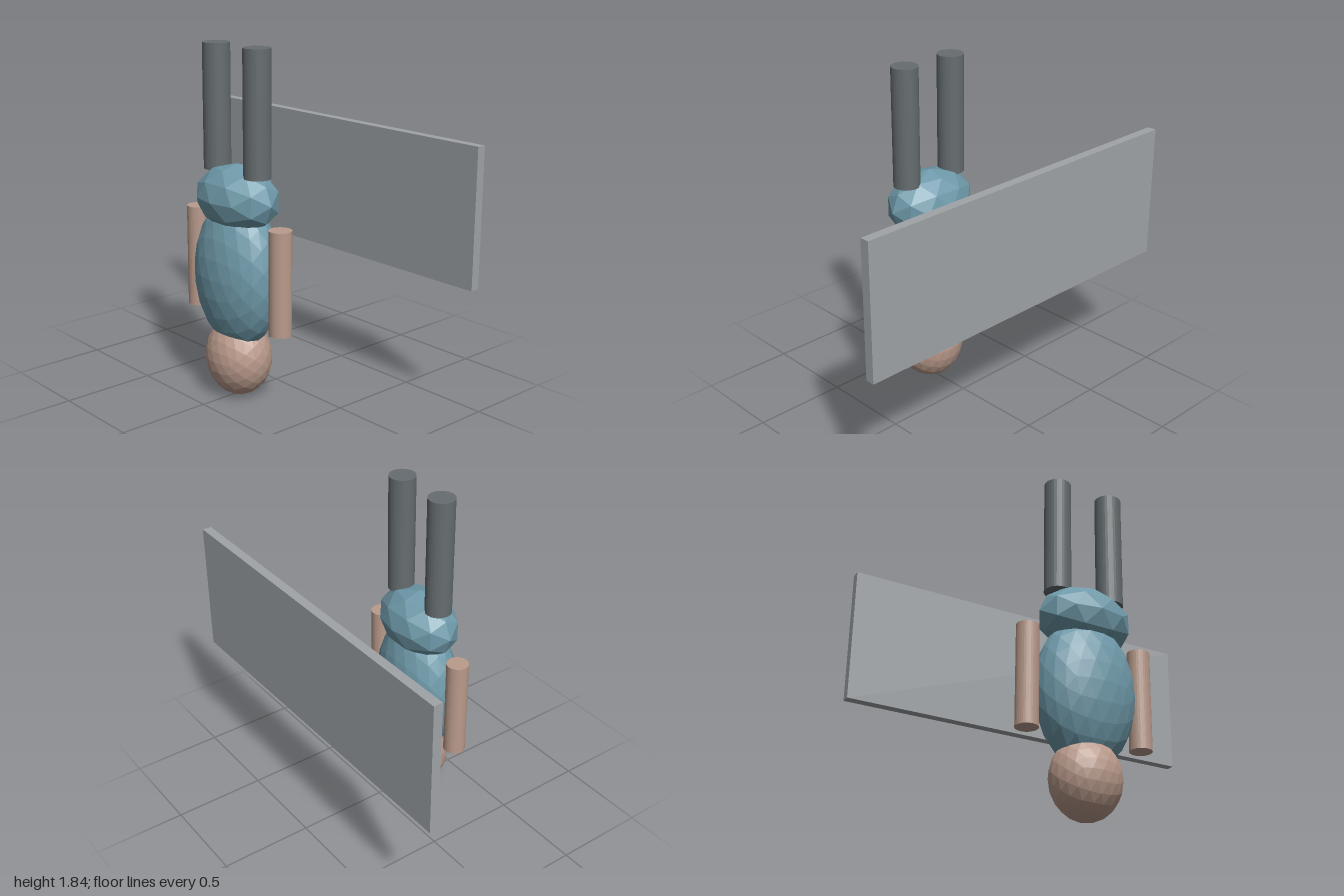
import * as THREE from 'three';

const material = (name, color, flatShading = false) => {
  const m = new THREE.MeshStandardMaterial({ color, flatShading });
  m.name = name;
  return m;
};

export function createModel() {
  const group = new THREE.Group();
  const skin = material('skin', 0xba9b8c, true);
  const cloth = material('blue cloth', 0x6f9aaa, true);
  const trousers = material('dark grey', 0x666d70, true);
  const board = material('light grey', 0x9fa4a7, true);
  const BODY_Z = 0.26;

  const add = (name, geometry, mat, x, y, z) => {
    const mesh = new THREE.Mesh(geometry, mat);
    mesh.name = name;
    mesh.position.set(x, y, z);
    group.add(mesh);
  };

  // Faceted ellipsoid, turned so that an edge of its net runs across the top
  const ellipsoid = (rx, ry, rz, detail) =>
    new THREE.IcosahedronGeometry(1, detail).rotateX(Math.PI / 2).scale(rx, ry, rz);

  // Body, head down
  add('head', ellipsoid(0.19, 0.213, 0.166, 3), skin, 0, 0.217, BODY_Z);
  add('torso', ellipsoid(0.275, 0.4, 0.188, 3), cloth, 0, 0.67, BODY_Z);
  add('pelvis', ellipsoid(0.262, 0.178, 0.18, 1), cloth, 0, 1.07, BODY_Z);

  // Limbs, mirrored
  for (const [side, s] of [['left', 1], ['right', -1]]) {
    add(side + 'Arm', new THREE.CylinderGeometry(0.059, 0.059, 0.545, 32), skin, s * 0.328, 0.695, BODY_Z);
    add(side + 'Leg', new THREE.CylinderGeometry(0.071, 0.071, 0.645, 32), trousers, s * 0.157, 1.522, BODY_Z);
  }

  // Flat board behind the body
  add('backPanel', new THREE.BoxGeometry(2, 0.724, 0.05), board, 0, 1.038, -0.422);
  return group;
}
